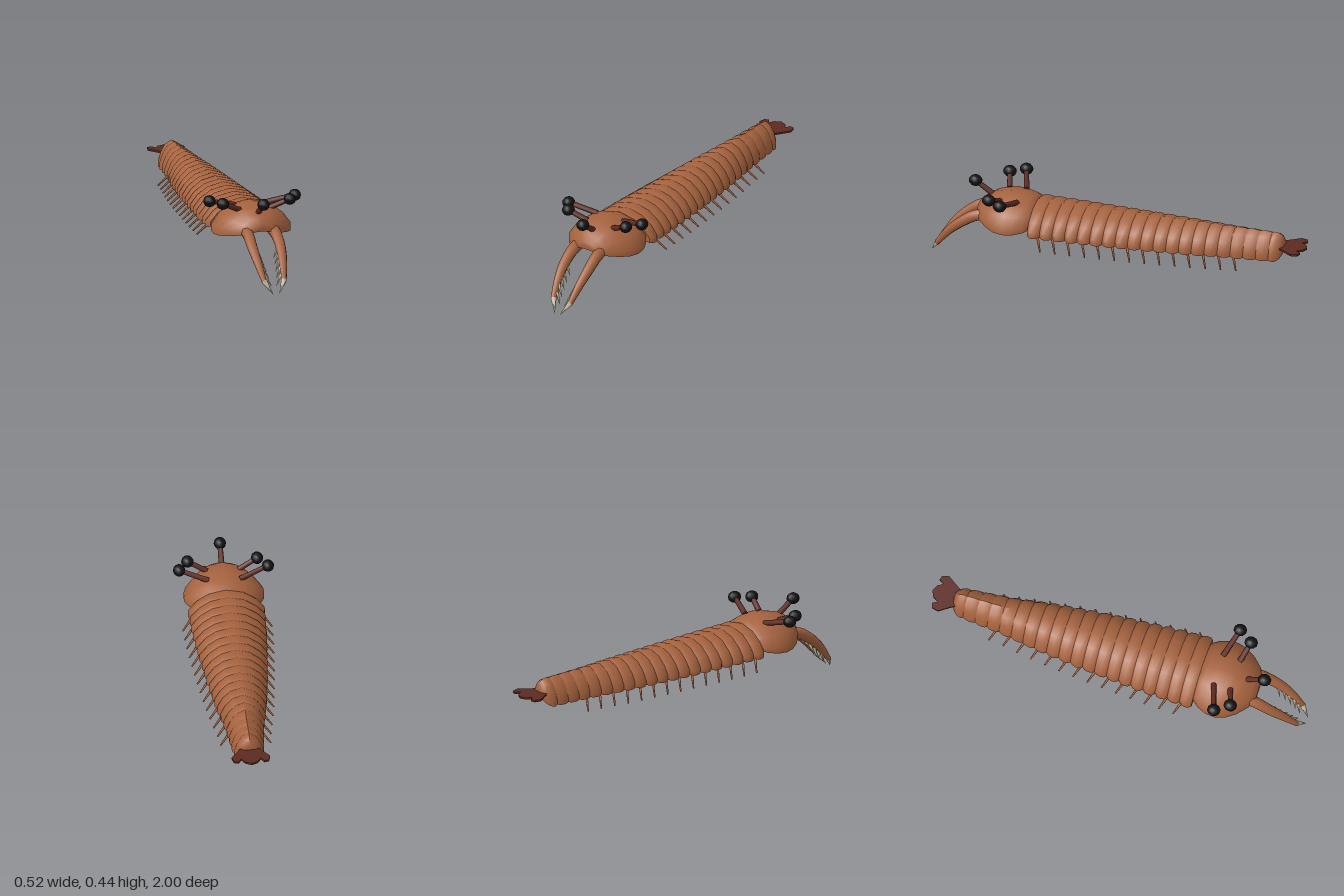
import * as THREE from 'three';
import { toCreasedNormals } from 'three/addons/utils/BufferGeometryUtils.js';

const mat = (name, color) => Object.assign(new THREE.MeshStandardMaterial({ color }), { name });

// Arched cross-section: [x in half-widths, y from 0 (rim) to 1 (crown)], counter-clockwise from the right rim
const HALF = [[1, 0], [1, 0.2], [0.8, 0.55], [0.48, 0.85]];
const ARCH = [...HALF, [0, 1], ...HALF.map(([x, y]) => [-x, y]).reverse(), [-0.5, 0.1], [0, 0.14], [0.5, 0.1]];

// Closed loft through stations [z, halfWidth, bottom, top], listed from back to front
function loft(stations, crease) {
  const n = ARCH.length, pos = [], idx = [];
  for (const [z, w, y0, y1] of stations)
    for (const [x, y] of ARCH) pos.push(x * w, y0 + y * (y1 - y0), z);
  for (let i = 0; i < stations.length - 1; i++)
    for (let j = 0; j < n; j++) {
      const a = i * n + j, b = i * n + (j + 1) % n;
      idx.push(a, b, a + n, b, b + n, a + n);
    }
  const last = stations.length - 1;
  for (const [s, front] of [[0, false], [last, true]]) {
    const [z, , y0, y1] = stations[s], c = pos.length / 3;
    pos.push(0, y0 + 0.5 * (y1 - y0), z);
    for (let j = 0; j < n; j++) {
      const a = s * n + j, b = s * n + (j + 1) % n;
      front ? idx.push(c, a, b) : idx.push(c, b, a);
    }
  }
  const g = new THREE.BufferGeometry();
  g.setAttribute('position', new THREE.Float32BufferAttribute(pos, 3));
  g.setIndex(idx);
  return toCreasedNormals(g, crease);
}

// Tapered rod from point a to point b
function rod(a, b, ra, rb, material, sides = 8) {
  const A = new THREE.Vector3(...a), B = new THREE.Vector3(...b), d = B.clone().sub(A);
  const m = new THREE.Mesh(new THREE.CylinderGeometry(rb, ra, d.length(), sides), material);
  m.position.copy(A).add(B).multiplyScalar(0.5);
  m.quaternion.setFromUnitVectors(new THREE.Vector3(0, 1, 0), d.normalize());
  return m;
}

// Half-width of the body along z
const WIDTHS = [[-0.88, 0.07], [-0.8, 0.08], [-0.6, 0.1], [-0.4, 0.132], [-0.2, 0.155], [0, 0.173], [0.2, 0.188], [0.44, 0.198]];
function bodyWidth(z) {
  for (let i = 1; i < WIDTHS.length; i++) {
    const [z0, w0] = WIDTHS[i - 1], [z1, w1] = WIDTHS[i];
    if (z <= z1) return THREE.MathUtils.lerp(w0, w1, (z - z0) / (z1 - z0));
  }
  return 0.198;
}

export function createModel() {
  const root = new THREE.Group();
  const shell = mat('shell brown', 0xa5623e);
  const dark = mat('dark red', 0x5c2a22);
  const black = mat('eye black', 0x111113);
  const bone = mat('bone', 0xcfc4a8);
  const add = (name, mesh) => { mesh.name = name; root.add(mesh); return mesh; };

  // Head shield
  add('head', new THREE.Mesh(loft([
    [0.43, 0.15, 0.26, 0.355], [0.47, 0.182, 0.245, 0.375], [0.52, 0.202, 0.236, 0.386],
    [0.57, 0.205, 0.232, 0.39], [0.62, 0.19, 0.233, 0.385], [0.67, 0.158, 0.24, 0.37],
    [0.715, 0.113, 0.25, 0.342], [0.745, 0.07, 0.264, 0.312],
  ], 1.2), shell));

  // Bulging body segments, the last one rounded off
  const COUNT = 20, STEP = 1.32 / COUNT;
  for (let i = 0; i < COUNT; i++) {
    const z1 = 0.44 - i * STEP, end = i === COUNT - 1;
    const station = (t, k) => {
      const z = z1 - STEP * t;
      return [z, bodyWidth(z) * k, 0.298 - 0.068 * k, 0.298 + 0.068 * k];
    };
    const profile = end
      ? [[1, 0.5], [0.8, 0.8], [0.5, 0.97], [0.2, 1], [0, 0.92]]
      : [[1, 0.92], [0.8, 0.98], [0.5, 1], [0.2, 0.98], [0, 0.92]];
    add('bodySegment', new THREE.Mesh(loft(profile.map(([t, k]) => station(t, k)), 0.8), shell));
  }

  // Tail fan
  const side = [[0.035, 0.84], [0.06, 0.885], [0.098, 0.94], [0.09, 0.975], [0.066, 0.982], [0.05, 0.955], [0.032, 0.985]];
  const fan = new THREE.Shape([...side, [0, 1], ...side.map(([x, z]) => [-x, z]).reverse()]
    .map(([x, z]) => new THREE.Vector2(x, z)));
  const tail = add('tailFan', new THREE.Mesh(
    new THREE.ExtrudeGeometry(fan, { depth: 0.01, bevelEnabled: false }), dark));
  tail.rotation.x = -Math.PI / 2;
  tail.position.y = 0.29;

  // Stalked eyes
  const eye = (base, tip) => {
    add('eyeStalk', rod(base, tip, 0.015, 0.013, dark));
    const ball = add('eye', new THREE.Mesh(new THREE.SphereGeometry(0.032, 10, 8), black));
    ball.position.set(...tip);
    ball.scale.set(1, 0.94, 1.1);
  };
  eye([0, 0.355, 0.68], [0, 0.418, 0.772]);

  for (const s of [-1, 1]) {
    eye([s * 0.08, 0.36, 0.615], [s * 0.178, 0.405, 0.645]);
    eye([s * 0.08, 0.365, 0.525], [s * 0.227, 0.405, 0.572]);

    // Legs
    for (let i = 0; i < 14; i++) {
      const z = 0.355 - i * 0.078, x = bodyWidth(z) + 0.035;
      add('leg', rod([s * (x - 0.06), 0.248, z + 0.035], [s * x, 0.178, z], 0.008, 0.004, shell, 6));
    }

    // Grasping arm: tapered tube
    const curve = new THREE.CatmullRomCurve3([
      [0.07, 0.272, 0.67], [0.073, 0.255, 0.75], [0.074, 0.208, 0.825],
      [0.066, 0.145, 0.895], [0.052, 0.06, 0.962],
    ].map(([x, y, z]) => new THREE.Vector3(s * x, y, z)));
    const R = 8, T = 14, g = new THREE.TubeGeometry(curve, T, 1, R), p = g.attributes.position;
    const v = new THREE.Vector3();
    for (let i = 0; i < p.count; i++) {
      const u = Math.floor(i / (R + 1)) / T, c = curve.getPointAt(u);
      v.fromBufferAttribute(p, i).sub(c).multiplyScalar(0.031 - 0.018 * u * u).add(c);
      p.setXYZ(i, v.x, v.y, v.z);
    }
    add('graspingArm', new THREE.Mesh(g, shell));
    add('armClaw', rod([s * 0.053, 0.066, 0.957], [s * 0.016, 0.004, 0.999], 0.016, 0.0005, bone, 6));

    // Inner spines
    for (let i = 0; i < 5; i++) {
      const c = curve.getPointAt(0.46 + i * 0.108);
      add('armSpine', rod([c.x - s * 0.012, c.y, c.z], [c.x - s * 0.045, c.y - 0.056, c.z + 0.018], 0.011, 0.0005, bone, 5));
    }
  }
  return root;
}
